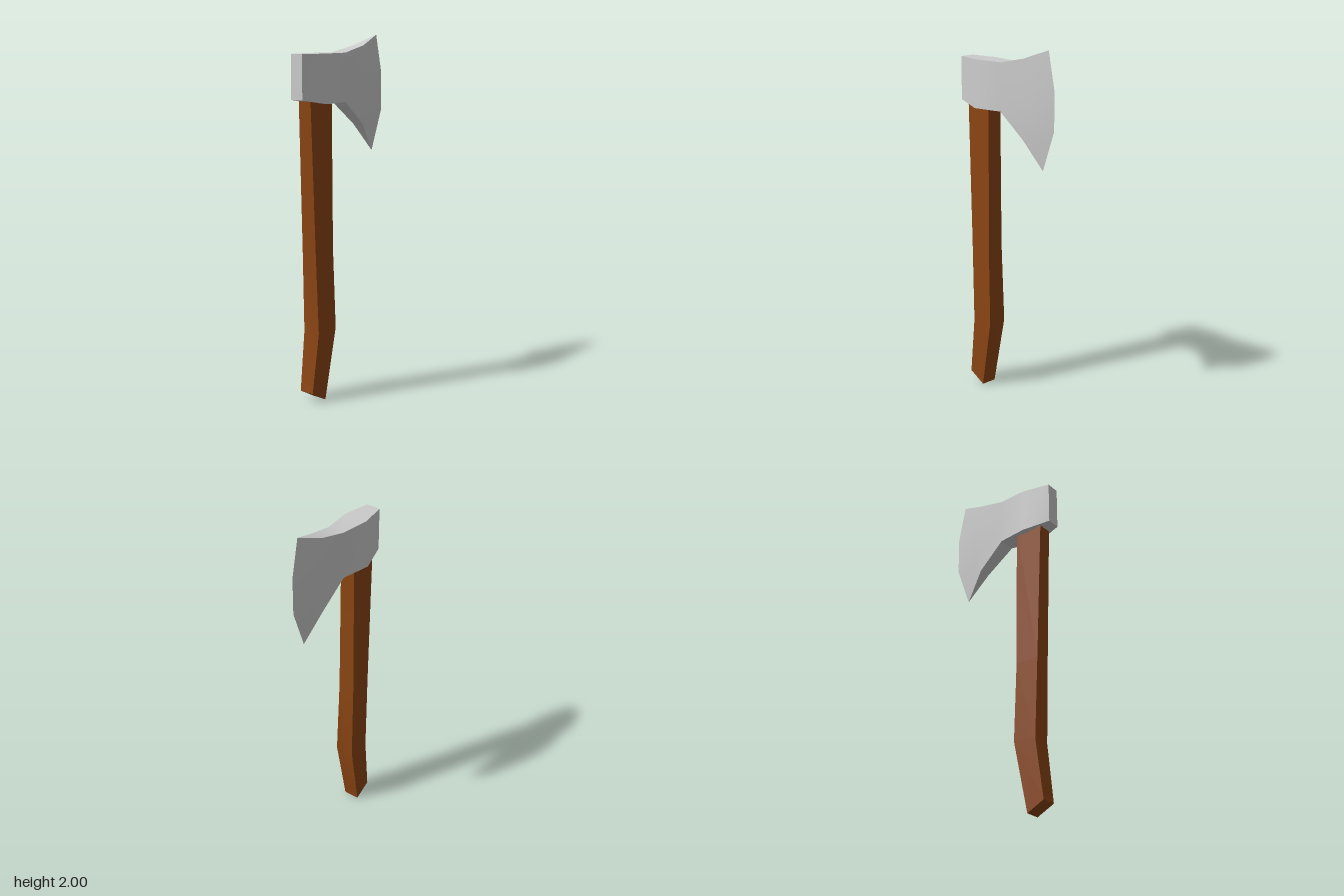
import * as THREE from 'three';
import { toCreasedNormals } from 'three/addons/utils/BufferGeometryUtils.js';

// Skins closed rings of points and caps both ends; ring point i faces point n-1-i.
function loft(rings, crease) {
  const pos = [];
  const tri = (a, b, c) => {
    const area = b.clone().sub(a).cross(c.clone().sub(a)).length();
    if (area > 1e-7) pos.push(...a.toArray(), ...b.toArray(), ...c.toArray());
  };
  const quad = (a, b, c, d) => { tri(a, b, c); tri(a, c, d); };
  const n = rings[0].length;
  for (let j = 0; j < rings.length - 1; j++) {
    const r = rings[j], s = rings[j + 1];
    for (let i = 0; i < n; i++) {
      const k = (i + 1) % n;
      quad(r[i], s[i], s[k], r[k]);
    }
  }
  const first = rings[0], last = rings[rings.length - 1];
  for (let i = 0; i < n / 2 - 1; i++) {
    const m = n - 1 - i;
    quad(first[i], first[i + 1], first[m - 1], first[m]);
    quad(last[m], last[m - 1], last[i + 1], last[i]);
  }
  const geo = new THREE.BufferGeometry();
  geo.setAttribute('position', new THREE.Float32BufferAttribute(pos, 3));
  return toCreasedNormals(geo, crease);
}

// Turns one side's points into a ring mirrored across x = 0.
function mirrored(side) {
  const pts = side.map(([x, y, z]) => new THREE.Vector3(x, y, z));
  const other = pts.map((p) => new THREE.Vector3(-p.x, p.y, p.z)).reverse();
  return [...pts, ...other];
}

// Cheek of the head: four levels from the bottom to the top at one z.
function cheek(z, bottom, top, halfBottom, halfTop) {
  return [0, 1, 2, 3].map((i) => {
    const t = i / 3;
    return [
      THREE.MathUtils.lerp(halfBottom, halfTop, t),
      THREE.MathUtils.lerp(bottom, top, t),
      z,
    ];
  });
}

export function createModel() {
  const group = new THREE.Group();
  const add = (name, geo, color) => {
    const mesh = new THREE.Mesh(geo, new THREE.MeshStandardMaterial({ color }));
    mesh.name = name;
    group.add(mesh);
  };

  // Head: poll, swollen eye, neck, flared bit and curved cutting edge
  const headSections = [
    cheek(0.34, 1.67, 1.91, 0.041, 0.041),
    cheek(0.187, 1.645, 1.91, 0.082, 0.068),
    cheek(0.015, 1.645, 1.91, 0.051, 0.049),
    [[0.036, 1.51, -0.145], [0.037, 1.635, -0.18], [0.037, 1.79, -0.18], [0.036, 1.945, -0.145]],
    [[0, 1.355, -0.26], [0, 1.58, -0.34], [0, 1.79, -0.34], [0, 2.0, -0.295]],
  ];
  add('axeHead', loft(headSections.map(mirrored), 0.7), 0xcccccc);

  // Handle: half width, then y and z of the back edge and of the front edge
  const handleSections = [
    [0.046, 0.0, 0.175, 0.055, 0.277],
    [0.055, 0.4, 0.1, 0.39, 0.236],
    [0.049, 0.85, 0.115, 0.85, 0.252],
    [0.043, 1.7, 0.117, 1.7, 0.282],
  ];
  const handleRings = handleSections.map(([w, yBack, zBack, yFront, zFront]) =>
    mirrored([[w, yBack, zBack], [w, yFront, zFront]]));
  add('handle', loft(handleRings, 0.7), 0x8b4513);

  return group;
}
